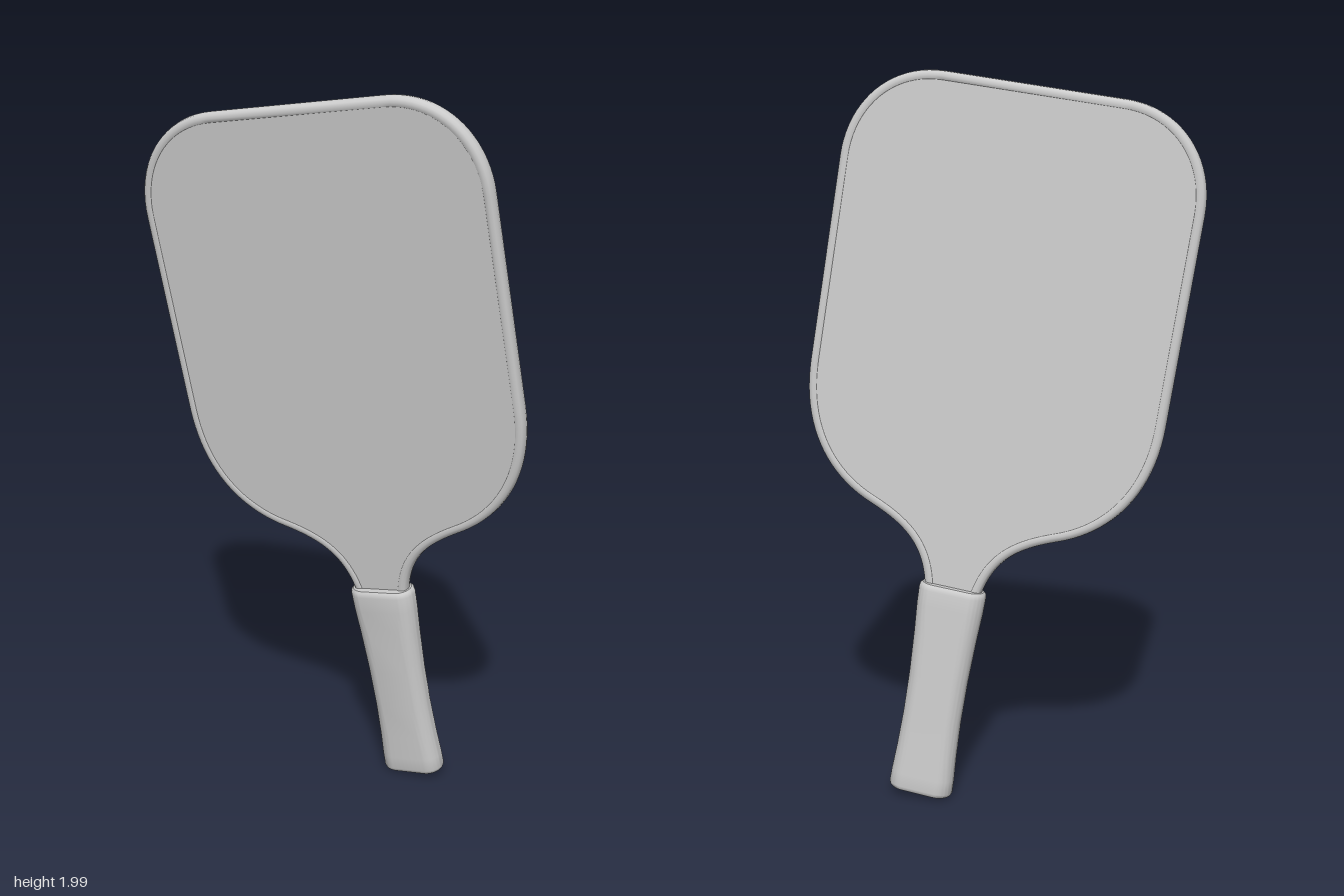
import * as THREE from 'three';
import { toCreasedNormals } from 'three/addons/utils/BufferGeometryUtils.js';

const material = new THREE.MeshStandardMaterial({ color: 0xcccccc });

// Joins equal rings of points into a skin; wraps the last ring to the first, or caps both ends.
function loft(rings, wrap) {
  const n = rings[0].length, m = rings.length, pos = [], index = [];
  rings.forEach(r => r.forEach(p => pos.push(...p)));
  for (let i = 0; i < (wrap ? m : m - 1); i++) {
    for (let j = 0; j < n; j++) {
      const k = (j + 1) % n, i2 = (i + 1) % m;
      const a = i * n + j, b = i * n + k, c = i2 * n + k, d = i2 * n + j;
      index.push(a, d, b, b, d, c);
    }
  }
  if (!wrap) {
    for (let j = 1; j < n - 1; j++) {
      index.push(0, j, j + 1);
      const t = (m - 1) * n;
      index.push(t, t + j + 1, t + j);
    }
  }
  const g = new THREE.BufferGeometry();
  g.setAttribute('position', new THREE.Float32BufferAttribute(pos, 3));
  g.setIndex(index);
  g.computeVertexNormals();
  return g;
}

// Blade outline, counter-clockwise, with the neck ending inside the handle
function bladeOutline() {
  const s = new THREE.Shape();
  s.moveTo(-0.075, 0.55);
  s.lineTo(0.075, 0.55);
  s.lineTo(0.079, 0.59);
  s.bezierCurveTo(0.1, 0.7, 0.16, 0.745, 0.262, 0.785);
  s.bezierCurveTo(0.41, 0.84, 0.497, 0.97, 0.497, 1.15);
  s.lineTo(0.497, 1.71);
  s.bezierCurveTo(0.497, 1.86, 0.39, 1.972, 0.245, 1.972);
  s.lineTo(-0.245, 1.972);
  s.bezierCurveTo(-0.39, 1.972, -0.497, 1.86, -0.497, 1.71);
  s.lineTo(-0.497, 1.15);
  s.bezierCurveTo(-0.497, 0.97, -0.41, 0.84, -0.262, 0.785);
  s.bezierCurveTo(-0.16, 0.745, -0.1, 0.7, -0.079, 0.59);
  s.closePath();
  const pts = s.getPoints(20);
  return pts.filter((p, i) => p.distanceTo(pts[(i + 1) % pts.length]) > 1e-5);
}

// Moves a closed outline inwards by d
function inset(pts, d) {
  const n = pts.length;
  return pts.map((p, i) => {
    const e1 = p.clone().sub(pts[(i + n - 1) % n]).normalize();
    const e2 = pts[(i + 1) % n].clone().sub(p).normalize();
    const k = d / (1 + e1.dot(e2));
    return new THREE.Vector2(p.x - (e1.y + e2.y) * k, p.y + (e1.x + e2.x) * k);
  });
}

// Rounded oblong handle section at height y
function handleRing(y, a, b) {
  const ring = [];
  for (let i = 0; i < 48; i++) {
    const t = ((i + 0.5) / 48) * Math.PI * 2;
    const c = Math.cos(t), s = Math.sin(t);
    ring.push([Math.sign(c) * (a - b) + c * b, y, -s * b]);
  }
  return ring;
}

export function createModel() {
  const group = new THREE.Group();
  const paddle = new THREE.Group();
  paddle.name = 'paddle';
  const add = (name, geometry) => {
    const mesh = new THREE.Mesh(geometry, material);
    mesh.name = name;
    paddle.add(mesh);
    return mesh;
  };
  const outline = bladeOutline();

  // Flat hitting faces
  const core = new THREE.ExtrudeGeometry(new THREE.Shape(inset(outline, 0.02)), { depth: 0.036, bevelEnabled: false });
  core.translate(0, 0, -0.018);
  add('bladeFace', core);

  // Rounded guard around the blade edge: [inset, half thickness]
  const half = [[0.026, 0.017], [0.024, 0.0205], [0.015, 0.021], [0.007, 0.019], [0.002, 0.012]];
  const profile = [...half, [0, 0], ...half.slice().reverse().map(([d, h]) => [d, -h])];
  const loops = profile.map(([d, h]) => inset(outline, d).map(p => [p.x, p.y, h]));
  const rim = loft(loops.reverse(), false);
  // keep only the skin, without the flat end caps
  rim.setIndex(Array.from(rim.index.array).slice(0, (profile.length - 1) * outline.length * 6));
  // orient the skin outwards
  const idx = rim.index.array;
  for (let i = 0; i < idx.length; i += 3) [idx[i + 1], idx[i + 2]] = [idx[i + 2], idx[i + 1]];
  rim.computeVertexNormals();
  const edge = add('edgeGuard', rim);
  edge.material = material.clone();
  edge.material.side = THREE.DoubleSide;

  // Handle, slightly waisted with a flared butt: [height, half width, half depth]
  const sections = [
    [0, 0.083, 0.038], [0.004, 0.088, 0.042], [0.012, 0.091, 0.044], [0.05, 0.09, 0.044],
    [0.12, 0.086, 0.043], [0.22, 0.083, 0.043], [0.34, 0.084, 0.044], [0.46, 0.089, 0.045],
    [0.54, 0.094, 0.045], [0.585, 0.095, 0.045], [0.597, 0.093, 0.043], [0.602, 0.087, 0.038]
  ];
  const grip = loft(sections.map(s => handleRing(...s)), false);
  // rings run the other way round, so flip the faces outwards if needed
  const p = grip.attributes.position, nrm = grip.attributes.normal, mid = 5 * 48;
  if (p.getX(mid) * nrm.getX(mid) + p.getZ(mid) * nrm.getZ(mid) < 0) {
    const gi = grip.index.array;
    const skin = (sections.length - 1) * 48 * 6;
    for (let i = 0; i < skin; i += 3) [gi[i + 1], gi[i + 2]] = [gi[i + 2], gi[i + 1]];
  }
  const handle = add('handle', toCreasedNormals(grip, 0.9));
  handle.material = edge.material;

  // Lean the paddle: long axis up, width mostly along z
  const up = new THREE.Vector3(-0.142, 0.985, -0.1).normalize();
  const facing = new THREE.Vector3(0.325, 0.143, 0.935).cross(up).normalize();
  const across = up.clone().cross(facing);
  paddle.quaternion.setFromRotationMatrix(new THREE.Matrix4().makeBasis(across, up, facing));
  paddle.position.set(0.187, 0.02, 0.143);
  group.add(paddle);

  // Centre on the ground
  group.updateMatrixWorld(true);
  const box = new THREE.Box3().setFromObject(group, true);
  const c = box.getCenter(new THREE.Vector3());
  paddle.position.sub(new THREE.Vector3(c.x, box.min.y, c.z));
  return group;
}
